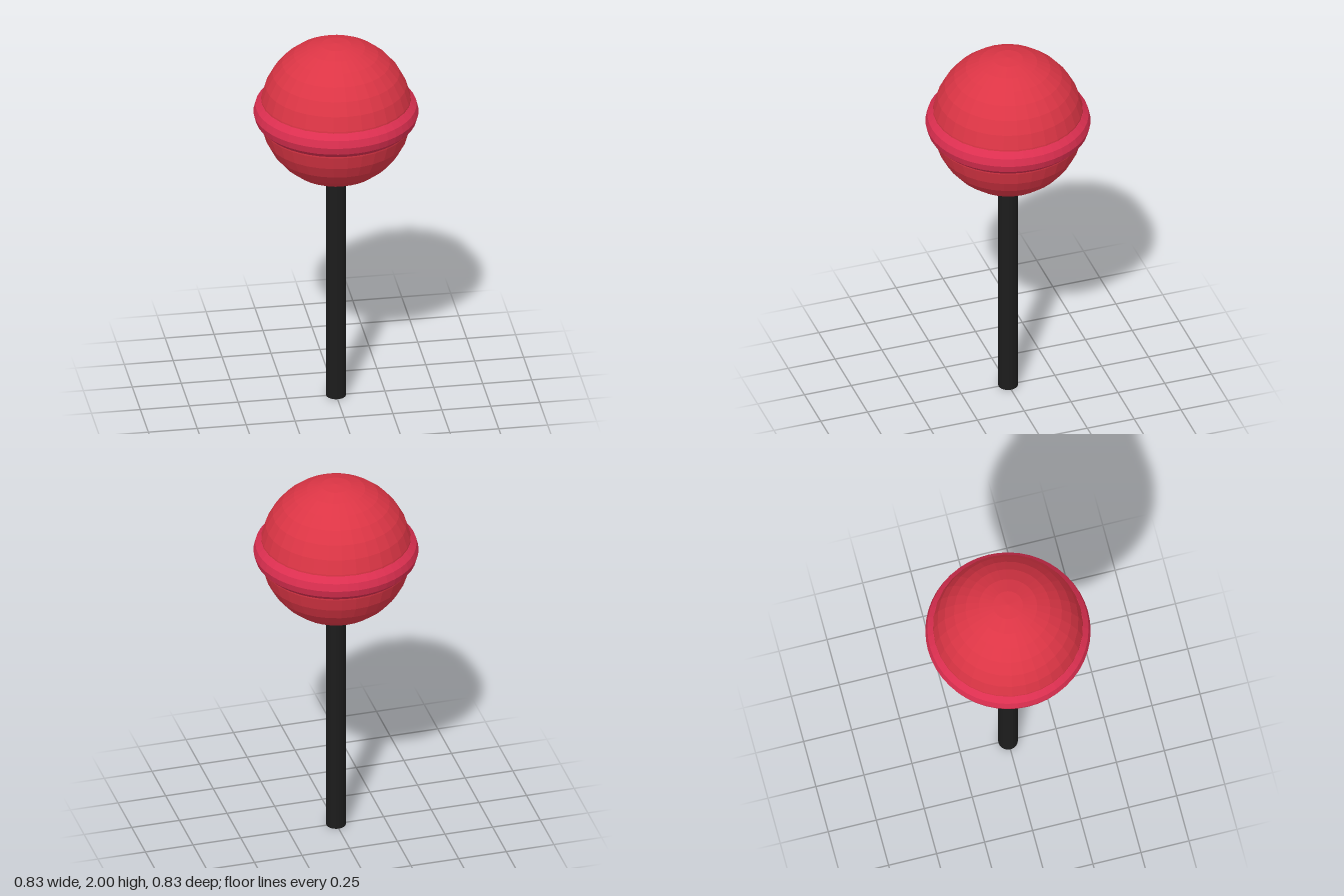
import * as THREE from 'three';

export function createModel() {
  const group = new THREE.Group();
  const centreY = 1.615;
  const candy = new THREE.MeshStandardMaterial({ color: 0xdc3545, flatShading: true });
  const rim = new THREE.MeshStandardMaterial({ color: 0xdc2f50, flatShading: true });
  const dark = new THREE.MeshStandardMaterial({ color: 0x1c1c1c, flatShading: true });

  const add = (name, geometry, material, y) => {
    const mesh = new THREE.Mesh(geometry, material);
    mesh.name = name;
    mesh.position.y = y;
    group.add(mesh);
  };

  // Faceted candy ball
  add('candyBall', new THREE.SphereGeometry(0.385, 32, 16), candy, centreY);

  // Raised band around the middle of the ball
  add('candyBand', new THREE.TorusGeometry(0.34, 0.077, 12, 48).rotateX(Math.PI / 2), rim, centreY);

  // Stick, reaching a little way into the ball
  add('stick', new THREE.CylinderGeometry(0.05, 0.05, 1.28, 24), dark, 0.64);

  return group;
}
